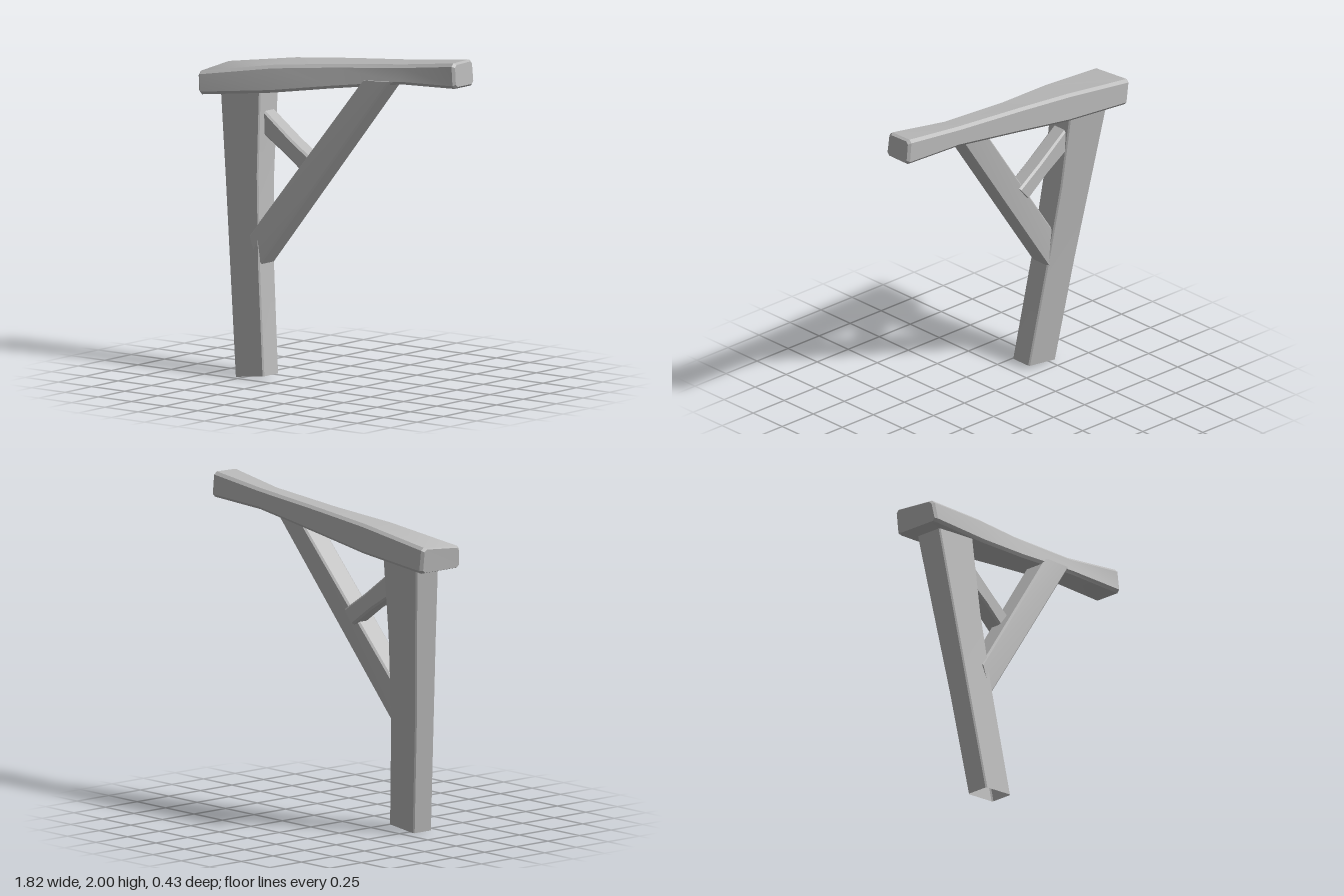
import * as THREE from 'three';
import { toCreasedNormals } from 'three/addons/utils/BufferGeometryUtils.js';

const V = (x, y, z) => new THREE.Vector3(x, y, z);

// Four-cornered section: low and high are [x, y]; zf / zb are front and back,
// zt is the front depth on the high side, drop lowers the front high corner.
const section = (low, high, zf, zb, zt = zf, drop = 0) => [
  V(...low, zf), V(...low, zb), V(...high, zb), V(high[0], high[1] - drop, zt),
];

// Cut each corner of a section, giving an eight-sided ring
function chamfer(corners, r) {
  return corners.flatMap((c, i) => [corners[(i + 3) % 4], corners[(i + 1) % 4]].map((n) =>
    c.clone().add(n.clone().sub(c).setLength(r))));
}

// Small end ring for a softened end: shrunk, with the full ring pulled inwards
function softEnd(ring, nextRing, inset) {
  const mid = ring.reduce((s, p) => s.add(p), V(0, 0, 0)).divideScalar(ring.length);
  const small = ring.map((p) => p.clone().add(mid.clone().sub(p).setLength(inset)));
  const pulled = ring.map((p, i) => p.clone().add(nextRing[i].clone().sub(p).setLength(inset)));
  return [small, pulled];
}

// Skin a timber through its sections
function timber(name, sections, material, { r = 0.012, soft = 0, capStart = true } = {}) {
  let rings = sections.map((s) => chamfer(s, r));
  if (soft) {
    const n = rings.length;
    const start = softEnd(rings[0], rings[1], soft);
    const end = softEnd(rings[n - 1], rings[n - 2], soft).reverse();
    rings = [...start, ...rings.slice(1, -1), ...end];
  }
  const n = rings[0].length, last = (rings.length - 1) * n, index = [];
  for (let k = 0; k < rings.length - 1; k++) {
    for (let i = 0; i < n; i++) {
      const a = k * n + i, b = k * n + (i + 1) % n;
      index.push(a, b, b + n, a, b + n, a + n);
    }
  }
  for (let i = 1; i < n - 1; i++) {
    if (capStart) index.push(0, i + 1, i);
    index.push(last, last + i, last + i + 1);
  }
  const geometry = new THREE.BufferGeometry().setFromPoints(rings.flat());
  geometry.setIndex(index);
  const mesh = new THREE.Mesh(toCreasedNormals(geometry, 0.5), material);
  mesh.name = name;
  return mesh;
}

export function createModel() {
  const grey = new THREE.MeshStandardMaterial({ color: 0xb8b8b8, side: THREE.DoubleSide });
  grey.name = 'plain grey';
  const group = new THREE.Group();
  group.name = 'timberBracket';

  // Leaning post, wider at the top and open underneath
  group.add(timber('post', [
    section([-0.335, 0.03], [-0.55, 0.005], 0.212, 0.068),
    section([-0.42, 0.68], [-0.644, 0.66], 0.148, 0.0),
    section([-0.47, 1.2], [-0.718, 1.18], 0.098, -0.065),
    section([-0.492, 1.74], [-0.797, 1.72], 0.048, -0.13),
  ], grey, { capStart: false, r: 0.008 }));

  // Top beam, tapering and rising to one side
  group.add(timber('topBeam', [
    section([-0.895, 1.64], [-0.915, 1.8], 0.13, -0.185, 0.115, 0.025),
    section([-0.4, 1.695], [-0.41, 1.875], 0.065, -0.207, 0.03, 0.02),
    section([0.0, 1.757], [-0.01, 1.915], 0.01, -0.212, -0.03, 0.02),
    section([0.5, 1.83], [0.49, 1.958], -0.03, -0.217, -0.06, 0.015),
    section([0.912, 1.847], [0.897, 2.003], -0.028, -0.22, -0.034, 0.005),
  ], grey, { r: 0.018, soft: 0.016 }));

  // Long diagonal brace from post to beam
  group.add(timber('brace', [
    section([-0.435, 0.66], [-0.5, 0.85], 0.14, 0.0),
    section([0.43, 1.84], [0.23, 1.83], -0.01, -0.155),
  ], grey));

  // Short strut between post and brace
  group.add(timber('strut', [
    section([-0.53, 1.455], [-0.53, 1.605], 0.02, -0.085),
    section([-0.34, 1.335], [-0.28, 1.42], 0.02, -0.088),
    section([-0.19, 1.225], [-0.115, 1.31], 0.015, -0.092),
  ], grey));

  return group;
}
